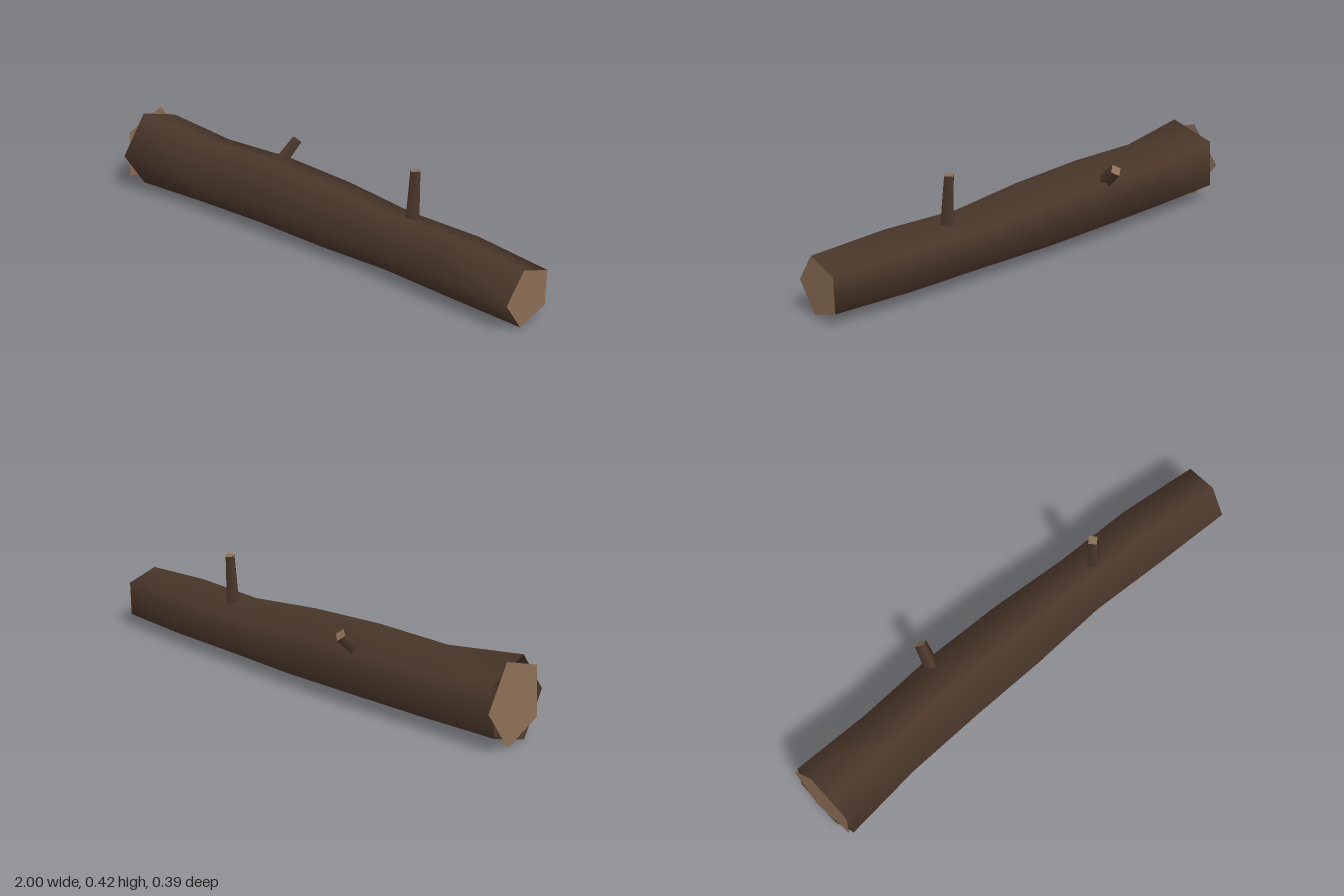
import * as THREE from 'three';

const SIDES = 5;
// centre line and radius of each trunk section: x, y, z, r
const SECTIONS = [
  [-0.988, 0.163, 0.027, 0.168],
  [-0.66, 0.145, 0.006, 0.149],
  [-0.33, 0.15, -0.007, 0.152],
  [0, 0.141, -0.008, 0.146],
  [0.33, 0.129, -0.007, 0.127],
  [0.66, 0.131, 0.005, 0.131],
  [0.992, 0.123, 0.026, 0.119],
];

// Pentagon of points square to the centre line at section i
function ring(i, turn = 0) {
  const [x, y, z, r] = SECTIONS[i];
  const a = SECTIONS[Math.max(i - 1, 0)];
  const b = SECTIONS[Math.min(i + 1, SECTIONS.length - 1)];
  const dy = (b[1] - a[1]) / (b[0] - a[0]);
  const dz = (b[2] - a[2]) / (b[0] - a[0]);
  return Array.from({ length: SIDES }, (_, j) => {
    const t = turn + (j / SIDES) * Math.PI * 2;
    const py = r * Math.sin(t), pz = r * Math.cos(t);
    return [x - dy * py - dz * pz, y + py, z + pz];
  });
}

function meshGeometry(points, index) {
  const g = new THREE.BufferGeometry();
  g.setAttribute('position', new THREE.Float32BufferAttribute(points.flat(), 3));
  g.setIndex(index);
  g.computeVertexNormals();
  return g;
}

function trunkGeometry() {
  const points = SECTIONS.flatMap((_, i) => ring(i));
  const index = [];
  for (let i = 0; i < SECTIONS.length - 1; i++) {
    for (let j = 0; j < SIDES; j++) {
      const k = (j + 1) % SIDES;
      const a = i * SIDES + j, b = i * SIDES + k;
      index.push(a, a + SIDES, b, b, a + SIDES, b + SIDES);
    }
  }
  return meshGeometry(points, index);
}

function capGeometry(i, turn, flip) {
  const index = [];
  for (let j = 1; j < SIDES - 1; j++) {
    index.push(0, ...(flip ? [j, j + 1] : [j + 1, j]));
  }
  return meshGeometry(ring(i, turn), index);
}

export function createModel() {
  const bark = new THREE.MeshStandardMaterial({ color: 0x4a372a, side: THREE.DoubleSide });
  bark.name = 'bark';
  const wood = new THREE.MeshStandardMaterial({ color: 0x8b6f55, side: THREE.DoubleSide });
  wood.name = 'cut wood';

  const group = new THREE.Group();
  group.name = 'log';
  const add = (name, geometry, material) => {
    const mesh = new THREE.Mesh(geometry, material);
    mesh.name = name;
    group.add(mesh);
    return mesh;
  };

  add('trunk', trunkGeometry(), bark);
  // sawn ends; the thick end's disc is turned so its corners poke out
  add('thinEnd', capGeometry(SECTIONS.length - 1, 0, false), wood);
  add('thickEnd', capGeometry(0, Math.PI, true), wood);

  // four-sided branch stub from the core to its cut tip
  const stub = (name, base, tip, rTip, rBase) => {
    const from = new THREE.Vector3(...base), to = new THREE.Vector3(...tip);
    const dir = to.clone().sub(from);
    const geometry = new THREE.CylinderGeometry(rTip, rBase, dir.length(), 4);
    const mesh = add(name, geometry, [bark, wood, bark]);
    mesh.position.copy(from).add(to).multiplyScalar(0.5);
    mesh.quaternion.setFromUnitVectors(new THREE.Vector3(0, 1, 0), dir.normalize());
  };
  stub('uprightStub', [0.42, 0.13, -0.008], [0.417, 0.424, -0.0285], 0.024, 0.038);
  stub('backStub', [-0.36, 0.15, -0.007], [-0.33, 0.303, -0.1765], 0.026, 0.038);

  return group;
}
